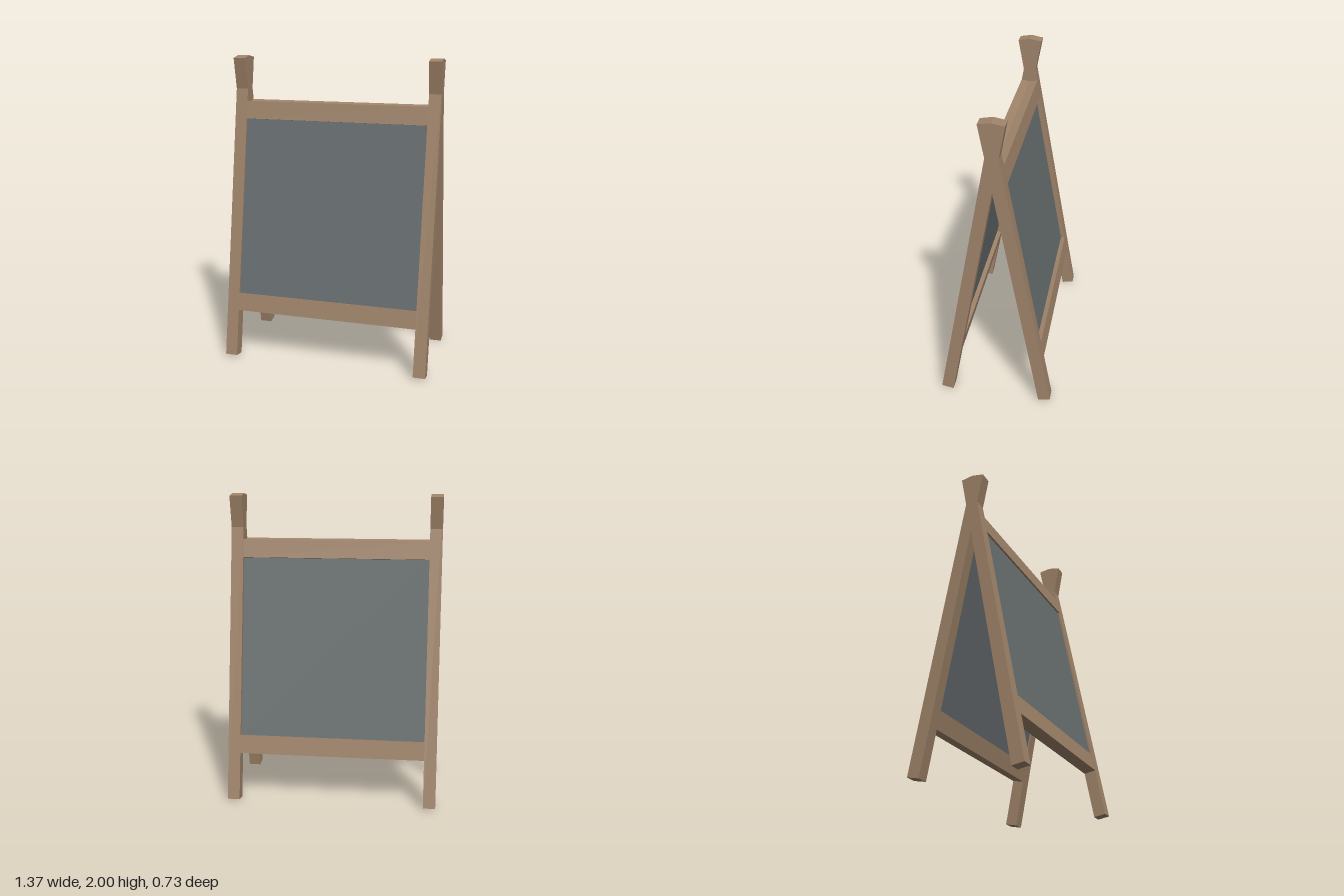
import * as THREE from 'three';

export function createModel() {
  const wood = new THREE.MeshStandardMaterial({ color: 0xa0846a });
  wood.name = 'wood';
  const slate = new THREE.MeshStandardMaterial({ color: 0x676d6f });
  slate.name = 'slate';

  const tilt = 0.1819;      // lean of each frame
  const depth = 0.079;      // timber thickness
  const legX = 0.645, legW = 0.08, legLength = 2.018;
  const innerW = 1.21;      // clear width between the legs

  const model = new THREE.Group();
  model.name = 'sandwichBoard';

  function bar(parent, name, material, size, position) {
    const mesh = new THREE.Mesh(new THREE.BoxGeometry(...size), material);
    mesh.name = name;
    mesh.position.set(...position);
    parent.add(mesh);
  }

  // Two leaning frames that cross near the top
  for (const side of [1, -1]) {
    const frame = new THREE.Group();
    frame.name = side > 0 ? 'frontFrame' : 'backFrame';
    frame.position.set(0, 1, side * 0.144);
    frame.rotation.x = -side * tilt;

    // Legs
    bar(frame, 'leftLeg', wood, [legW, legLength, depth], [legX, 0, 0]);
    bar(frame, 'rightLeg', wood, [legW, legLength, depth], [-legX, 0, 0]);

    // Rails, flush with the legs
    bar(frame, 'topRail', wood, [innerW, 0.117, depth], [0, 0.6515, 0]);
    bar(frame, 'bottomRail', wood, [innerW, 0.117, depth], [0, -0.6405, 0]);

    // Writing panel, set nearer the +z face in both frames
    bar(frame, 'panel', slate, [innerW, 1.175, 0.037], [0, 0.0055, 0.009]);

    model.add(frame);
  }
  return model;
}
